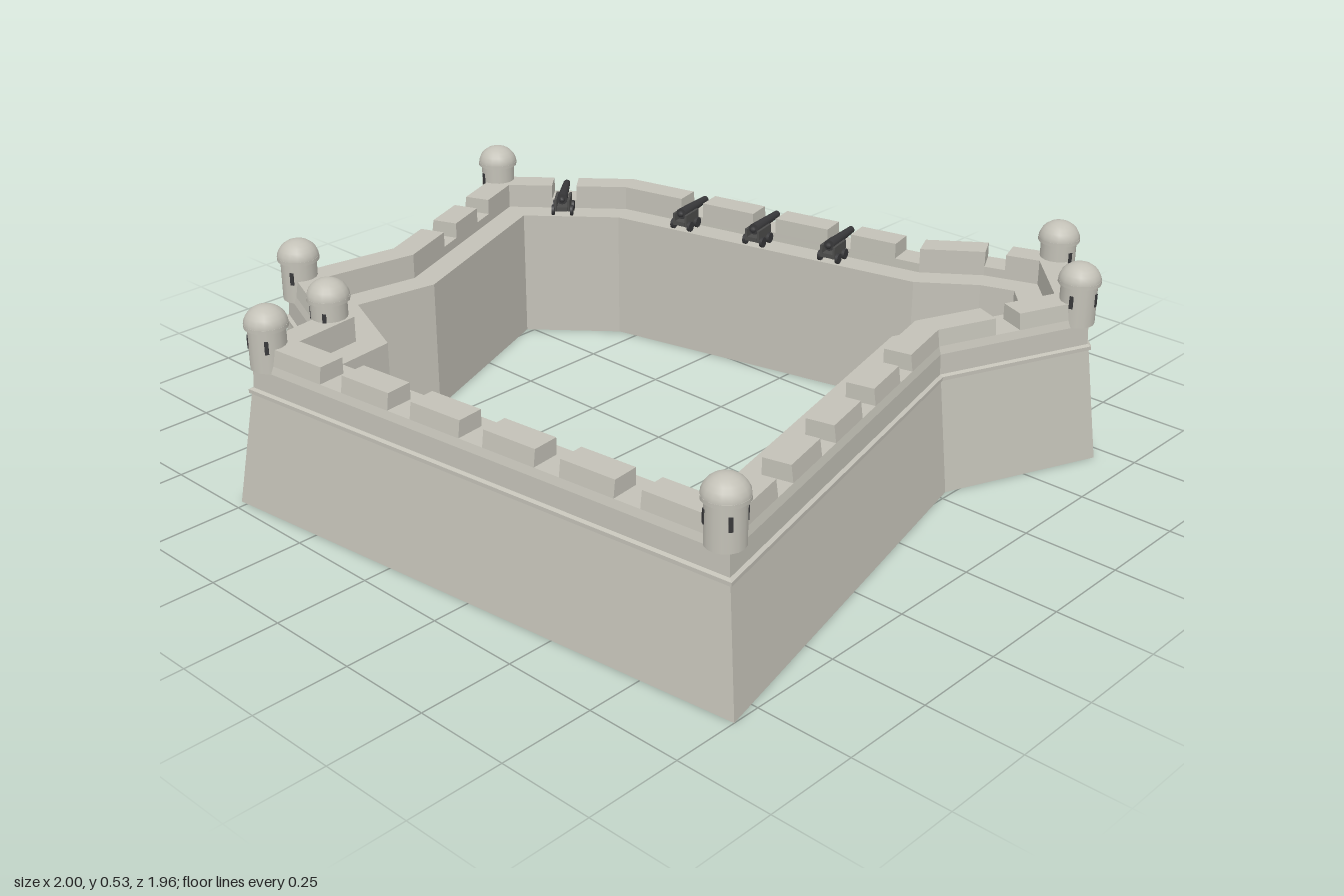
import * as THREE from 'three';

const material = (name, color, extra = {}) => {
  const m = new THREE.MeshStandardMaterial({ color, ...extra });
  m.name = name;
  return m;
};

// Base corners of the fort, clockwise seen from above: [x, z]
const PLAN = [
  [-1.0, -0.295], [-0.645, -0.595], [0.275, -0.8], [0.41, -0.9], [0.645, -0.98], [0.907, -0.702],
  [0.735, -0.282], [1.0, 0.825], [-0.52, 0.975], [-0.545, 0.742], [-0.825, 0.628], [-0.767, 0.3],
];
const COUNT = PLAN.length;
const TOWER_CORNERS = [0, 4, 5, 7, 8, 9, 10];
const WALK = 0.365, SILL = 0.39, TOP = 0.433;
const PARAPET_OUT = 0.048, PARAPET_IN = 0.125, GAP = 0.072;

const sideDir = (i) => {
  const a = PLAN[i], b = PLAN[(i + 1) % COUNT];
  return new THREE.Vector2(b[0] - a[0], b[1] - a[1]).normalize();
};
const inward = (i) => {
  const d = sideDir(i);
  return new THREE.Vector2(-d.y, d.x);
};

// Mitred corner of the plan moved inwards
function corner(i, inset) {
  i %= COUNT;
  const n1 = inward((i + COUNT - 1) % COUNT), n2 = inward(i);
  const k = inset / (1 + n1.dot(n2));
  return new THREE.Vector2(PLAN[i][0], PLAN[i][1]).addScaledVector(n1.add(n2), k);
}

// Point on side i, s along the parapet centre line, at a given inset
const MID = 0.085;
const sidePoint = (i, s, inset) =>
  corner(i, MID).addScaledVector(sideDir(i), s).addScaledVector(inward(i), inset - MID);
const sideLength = (i) => corner(i, MID).distanceTo(corner(i + 1, MID));

// Flat-faced skin through equal closed loops of points
function loft(loops) {
  const pos = [];
  const put = (...pts) => pts.forEach((p) => pos.push(p.x, p.y, p.z));
  for (let j = 0; j < loops.length - 1; j++) {
    const lo = loops[j], hi = loops[j + 1];
    for (let i = 0; i < lo.length; i++) {
      const k = (i + 1) % lo.length;
      put(lo[k], lo[i], hi[i], lo[k], hi[i], hi[k]);
    }
  }
  const g = new THREE.BufferGeometry();
  g.setAttribute('position', new THREE.Float32BufferAttribute(pos, 3));
  g.computeVertexNormals();
  return g;
}
const lift = (p, y) => new THREE.Vector3(p.x, y, p.y);

// Where the embrasures are cut on a side, as fractions of its length
function gapsOf(i) {
  if (i === 3) return [0.15];
  const n = Math.round(sideLength(i) / 0.22) - 1;
  const gaps = [];
  for (let k = 1; k <= n; k++) gaps.push(k / (n + 1));
  if (i === 1) gaps.push(0.97);
  return gaps;
}

export function createModel() {
  const stone = material('stone', 0xc3c1b7, { side: THREE.DoubleSide });
  const iron = material('dark iron', 0x38383a);
  const carriageMat = material('gun carriage', 0x4c4c4b);
  const doorMat = material('gate door', 0x4e4e50);

  const fort = new THREE.Group();
  fort.name = 'fort';
  const add = (parent, name, geo, mat, x = 0, y = 0, z = 0) => {
    const m = new THREE.Mesh(geo, mat);
    m.name = name;
    m.position.set(x, y, z);
    parent.add(m);
    return m;
  };
  const group = (name, p, y, outX, outZ) => {
    const g = new THREE.Group();
    g.name = name;
    g.position.set(p.x, y, p.y);
    g.rotation.y = Math.atan2(outX, outZ); // local +z faces outwards
    fort.add(g);
    return g;
  };

  // Battered curtain wall, hollow and open below, with string course,
  // parapet sill and wall walk: [inset, y]
  const section = [
    [0, 0], [0.036, 0.3], [0.031, 0.302], [0.031, 0.312], [0.04, 0.316], [0.042, 0.37],
    [PARAPET_OUT, SILL], [PARAPET_IN, SILL], [PARAPET_IN, WALK], [0.195, WALK], [0.195, 0],
  ];
  add(fort, 'curtainWall', loft(section.map(([d, y]) => PLAN.map((_, i) => lift(corner(i, d), y)))), stone);

  // Merlons between the embrasures, mitred at the corners
  for (let i = 0; i < COUNT; i++) {
    const len = sideLength(i);
    const cuts = [0];
    gapsOf(i).forEach((t) => cuts.push(t * len - GAP / 2, t * len + GAP / 2));
    cuts.push(len);
    for (let k = 0; k < cuts.length; k += 2) {
      const s0 = cuts[k], s1 = cuts[k + 1];
      if (s1 - s0 < 0.01) continue;
      const start = (d) => (k === 0 ? corner(i, d) : sidePoint(i, s0, d));
      const end = (d) => (k === cuts.length - 2 ? corner(i + 1, d) : sidePoint(i, s1, d));
      const loop = (out, y) => [start(out), end(out), end(PARAPET_IN), start(PARAPET_IN)].map((p) => lift(p, y));
      const top = loop(PARAPET_OUT + 0.006, TOP);
      const mid = top.reduce((a, p) => a.addScaledVector(p, 0.25), new THREE.Vector3());
      add(fort, 'merlon', loft([loop(PARAPET_OUT, SILL), top, top.map(() => mid)]), stone);
    }
  }

  // Domed sentry turrets with narrow slits
  const R = 0.047;
  const bodyGeo = new THREE.CylinderGeometry(R, R, 0.118, 16);
  const domeGeo = new THREE.SphereGeometry(0.055, 16, 6, 0, Math.PI * 2, 0, Math.PI / 2).scale(1, 0.88, 1);
  const rimGeo = new THREE.CylinderGeometry(0.055, 0.055, 0.01, 16);
  const slitGeo = new THREE.BoxGeometry(0.01, 0.034, 0.004);
  for (const c of TOWER_CORNERS) {
    const p = corner(c, 0.071);
    const t = group('turret', p, 0, PLAN[c][0] - p.x, PLAN[c][1] - p.y);
    add(t, 'turretBody', bodyGeo, stone, 0, 0.43, 0);
    add(t, 'turretRim', rimGeo, stone, 0, 0.484, 0);
    add(t, 'turretDome', domeGeo, stone, 0, 0.486, 0);
    for (const a of [-Math.PI / 2, 0, Math.PI / 2]) {
      const slit = add(t, 'turretSlit', slitGeo, iron, Math.sin(a) * R, 0.44, Math.cos(a) * R);
      slit.rotation.y = a;
    }
  }

  // Cannons standing in the embrasures
  const barrelGeo = new THREE.CylinderGeometry(0.01, 0.016, 0.14, 12).rotateX(Math.PI / 2);
  const wheelGeo = new THREE.CylinderGeometry(0.015, 0.015, 0.008, 10).rotateZ(Math.PI / 2);
  for (const [side, t] of [[0, 0.5], [1, 0.25], [1, 0.5], [1, 0.75]]) {
    const n = inward(side);
    const c = group('cannon', sidePoint(side, t * sideLength(side), 0.125), WALK, -n.x, -n.y);
    add(c, 'barrel', barrelGeo, iron, 0, 0.05, 0.007);
    add(c, 'breechKnob', new THREE.SphereGeometry(0.009, 8, 6), iron, 0, 0.05, -0.066);
    add(c, 'carriageBed', new THREE.BoxGeometry(0.03, 0.012, 0.07), carriageMat, 0, 0.022, -0.037);
    for (const s of [-1, 1]) {
      add(c, 'carriageCheek', new THREE.BoxGeometry(0.007, 0.035, 0.07), carriageMat, s * 0.019, 0.033, -0.037);
      for (const z of [-0.058, -0.017]) add(c, 'wheel', wheelGeo, iron, s * 0.027, 0.015, z);
    }
  }

  // Raised gateway in the back wall
  const n = inward(1);
  const a = PLAN[1], b = PLAN[2];
  const mid = new THREE.Vector2(a[0] + (b[0] - a[0]) * 0.522, a[1] + (b[1] - a[1]) * 0.522);
  const gate = group('gateway', mid, 0, -n.x, -n.y);
  add(gate, 'gateDoor', new THREE.BoxGeometry(0.17, 0.215, 0.035), doorMat, 0, 0.1875, -0.026);
  add(gate, 'gateLintel', new THREE.BoxGeometry(0.222, 0.022, 0.05), stone, 0, 0.306, -0.02);
  for (const s of [-1, 1]) {
    add(gate, 'gatePost', new THREE.BoxGeometry(0.024, 0.225, 0.042), stone, s * 0.093, 0.1825, -0.02);
  }
  return fort;
}
